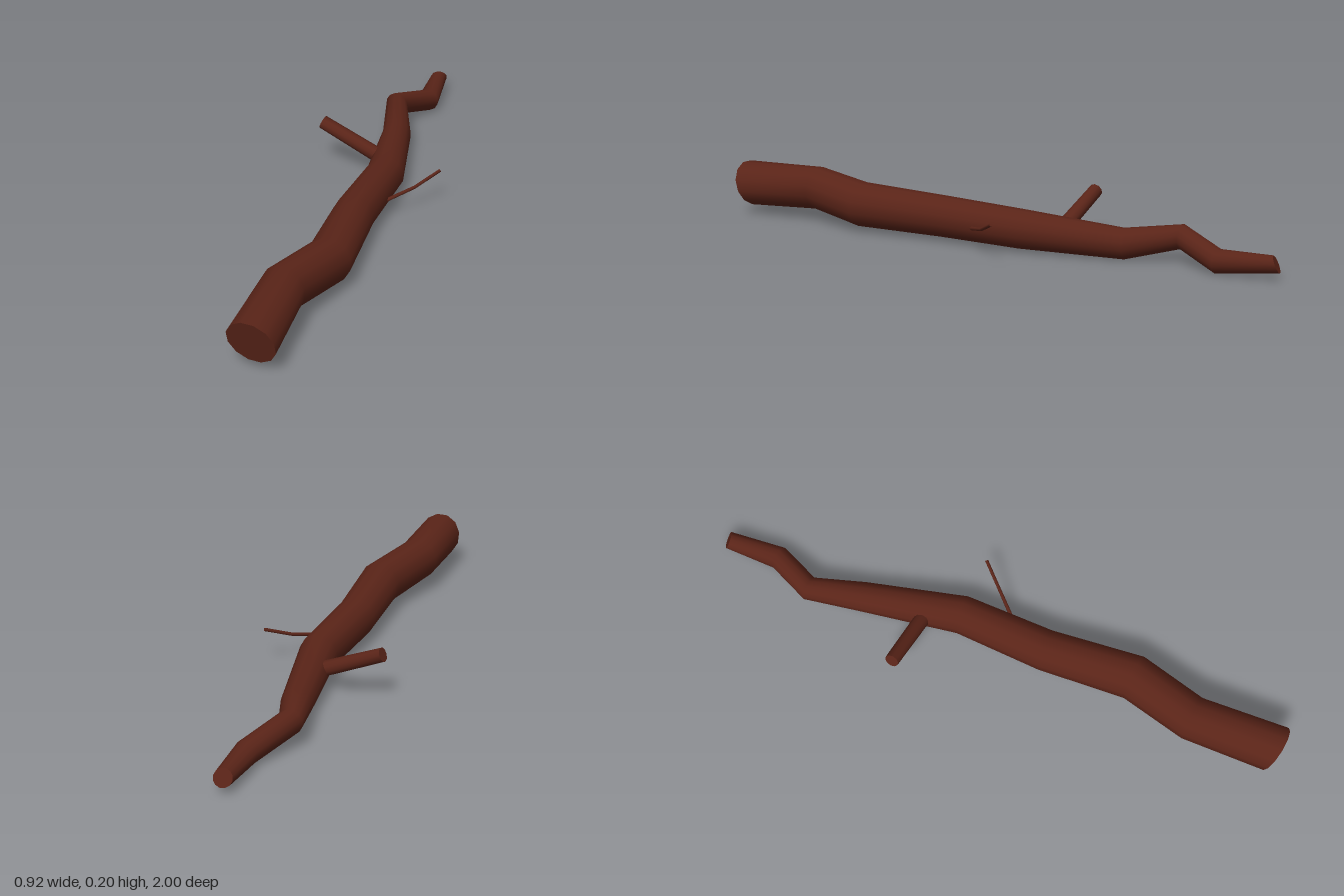
import * as THREE from 'three';

const bark = new THREE.MeshStandardMaterial({ color: 0x5a2418, roughness: 0.9 });

// Lofts a capped round limb through stations [x, y, z, radius];
// startN / endN optionally tilt the cut faces.
function limb(name, stations, sides, startN, endN) {
  const pts = stations.map(([x, y, z]) => new THREE.Vector3(x, y, z));
  const last = pts.length - 1;
  const up = new THREE.Vector3(0, 1, 0);
  const pos = [], idx = [];

  const rings = pts.map((p, i) => {
    const n = new THREE.Vector3();
    if (i > 0) n.add(p.clone().sub(pts[i - 1]).normalize());
    if (i < last) n.add(pts[i + 1].clone().sub(p).normalize());
    if (i === 0 && startN) n.set(...startN);
    if (i === last && endN) n.set(...endN);
    n.normalize();
    const u = up.clone().cross(n).normalize();
    const v = n.clone().cross(u);
    return Array.from({ length: sides }, (_, j) => {
      const a = ((j + 0.5) / sides) * Math.PI * 2;
      return p.clone()
        .addScaledVector(u, Math.cos(a) * stations[i][3])
        .addScaledVector(v, Math.sin(a) * stations[i][3]);
    });
  });

  // Smooth side wall
  rings.forEach((ring) => ring.forEach((q) => pos.push(q.x, q.y, q.z)));
  for (let i = 0; i < last; i++) {
    for (let j = 0; j < sides; j++) {
      const k = (j + 1) % sides;
      const a = i * sides + j, b = i * sides + k;
      idx.push(a, b, a + sides, b, b + sides, a + sides);
    }
  }

  // Flat cut faces with their own vertices
  for (const i of [0, last]) {
    const c = pos.length / 3;
    pos.push(pts[i].x, pts[i].y, pts[i].z);
    rings[i].forEach((q) => pos.push(q.x, q.y, q.z));
    for (let j = 0; j < sides; j++) {
      const a = c + 1 + j, b = c + 1 + ((j + 1) % sides);
      if (i === 0) idx.push(c, b, a);
      else idx.push(c, a, b);
    }
  }

  const geo = new THREE.BufferGeometry();
  geo.setAttribute('position', new THREE.Float32BufferAttribute(pos, 3));
  geo.setIndex(idx);
  geo.computeVertexNormals();
  const mesh = new THREE.Mesh(geo, bark);
  mesh.name = name;
  return mesh;
}

export function createModel() {
  const group = new THREE.Group();
  group.name = 'fallenBranch';

  // Main crooked limb, thick at the front and thin at the back
  group.add(limb('mainLimb', [
    [-0.39, 0.114, 0.953, 0.085],
    [-0.28, 0.122, 0.667, 0.079],
    [-0.122, 0.099, 0.472, 0.081],
    [-0.015, 0.087, 0.163, 0.074],
    [0.123, 0.08, -0.132, 0.069],
    [0.202, 0.057, -0.487, 0.054],
    [0.222, 0.091, -0.682, 0.043],
    [0.361, 0.044, -0.8, 0.042],
    [0.427, 0.056, -0.986, 0.031],
  ], 12, [0.55, 0.3, -1], [0.2, 0.45, -1]));

  // Short stub on the right
  group.add(limb('sideStub', [
    [0.13, 0.075, -0.262, 0.028],
    [-0.086, 0.179, -0.375, 0.025],
  ], 10));

  // Thin bent twig on the left
  group.add(limb('twig', [
    [0.09, 0.07, 0.055, 0.007],
    [0.215, 0.096, 0.0, 0.006],
    [0.31, 0.135, -0.045, 0.006],
  ], 8));

  return group;
}
